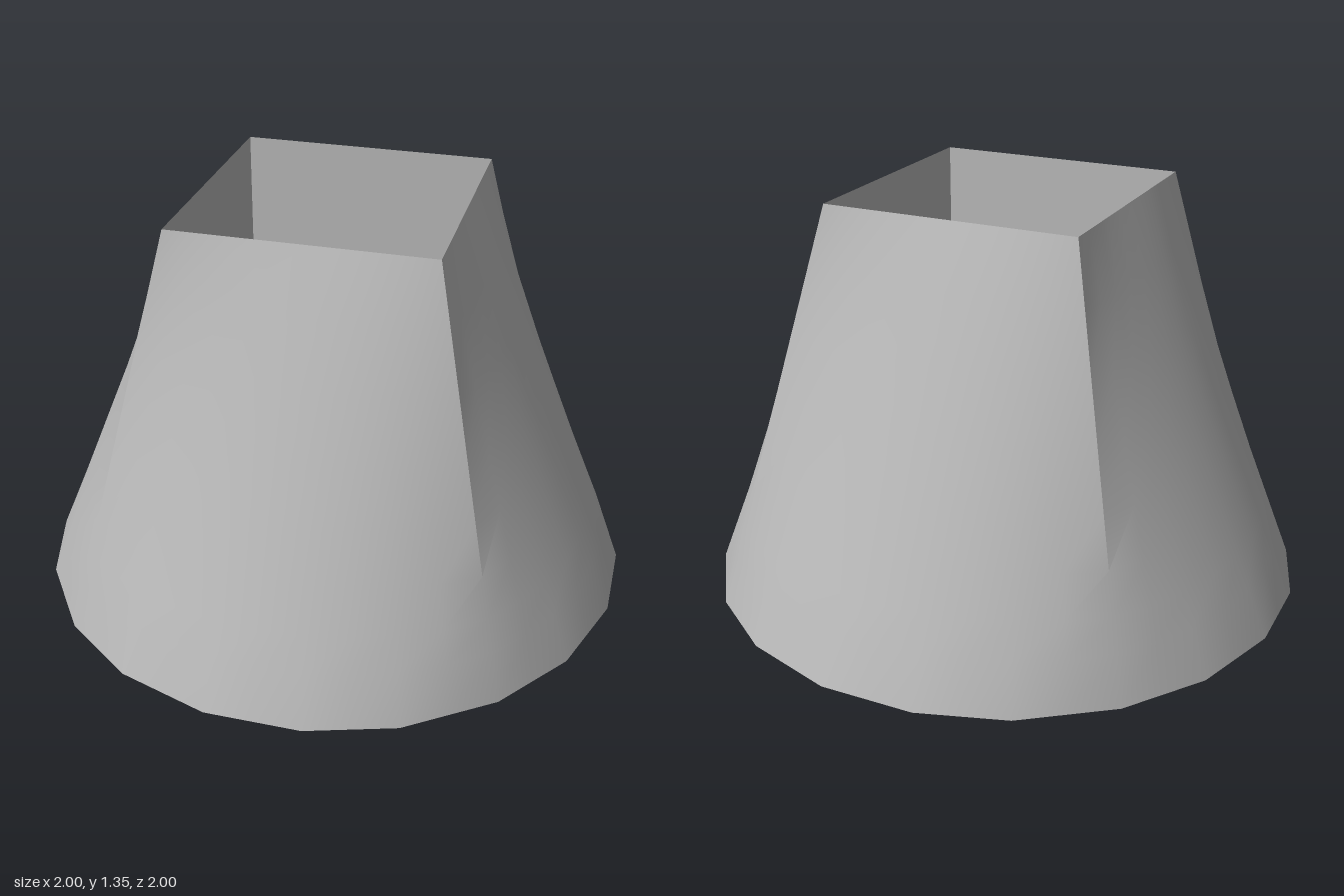
import * as THREE from 'three';
import { toCreasedNormals } from 'three/addons/utils/BufferGeometryUtils.js';

const HEIGHT = 1.35;
const HALF = 0.43; // half side of the square opening
const RADIUS = 1.0125; // radius of the round foot
const SIDE_ANGLES = [-45, -26, -9, 9, 27.5, 45]; // foot corners along one side
const ROWS = [0, 0.15, 0.3, 0.45, 0.58, 0.7, 0.8, 0.88, 1];

const rad = THREE.MathUtils.degToRad;
const onCircle = (deg) => new THREE.Vector2(Math.cos(rad(deg)), Math.sin(rad(deg))).multiplyScalar(RADIUS);

// Columns of one side: a point on the square, on the circle and on the foot polygon
function sideColumns() {
  const columns = [];
  for (let i = 0; i < SIDE_ANGLES.length; i++) {
    const a = SIDE_ANGLES[i];
    const add = (deg, foot) => columns.push({
      square: new THREE.Vector2(HALF, (HALF * deg) / 45), circle: onCircle(deg), foot,
    });
    add(a, onCircle(a));
    if (i < SIDE_ANGLES.length - 1) {
      const b = SIDE_ANGLES[i + 1];
      add((a + b) / 2, onCircle(a).lerp(onCircle(b), 0.5));
    }
  }
  return columns;
}

// Outer skin: straight loft from the square rim to the round foot
function skinGeometry() {
  const positions = [];
  const index = [];
  const columns = sideColumns();
  const n = columns.length;
  const origin = new THREE.Vector2();
  for (let side = 0; side < 4; side++) {
    const base = positions.length / 3;
    ROWS.forEach((t, r) => {
      columns.forEach(({ square, circle, foot }, c) => {
        const p = square.clone().lerp(t === 1 ? foot : circle, t);
        p.rotateAround(origin, (side * Math.PI) / 2);
        positions.push(p.x, HEIGHT * (1 - t), p.y);
        if (r < ROWS.length - 1 && c < n - 1) {
          const a = base + r * n + c;
          index.push(a, a + 1, a + n + 1, a, a + n + 1, a + n);
        }
      });
    });
  }
  const geometry = new THREE.BufferGeometry();
  geometry.setAttribute('position', new THREE.Float32BufferAttribute(positions, 3));
  geometry.setIndex(index);
  // Corners are sharp near the rim and melt away towards the foot
  return toCreasedNormals(geometry, 0.42);
}

// Flat underside with the square hole
function undersideGeometry() {
  const points = [];
  for (let side = 0; side < 4; side++) {
    SIDE_ANGLES.slice(0, -1).forEach((a) => points.push(onCircle(a + side * 90)));
  }
  const shape = new THREE.Shape(points);
  shape.holes.push(new THREE.Path([
    new THREE.Vector2(-HALF, -HALF), new THREE.Vector2(-HALF, HALF),
    new THREE.Vector2(HALF, HALF), new THREE.Vector2(HALF, -HALF),
  ]));
  return new THREE.ShapeGeometry(shape).rotateX(Math.PI / 2);
}

export function createModel() {
  const model = new THREE.Group();
  model.name = 'squareToRoundAdapter';
  const grey = new THREE.MeshStandardMaterial({ color: 0xb8b8b8 });
  grey.name = 'grey';

  const add = (name, geometry) => {
    const mesh = new THREE.Mesh(geometry, grey);
    mesh.name = name;
    model.add(mesh);
  };

  add('outerSkin', skinGeometry());
  add('underside', undersideGeometry());

  // Straight walls of the square bore, facing inwards
  for (let i = 0; i < 4; i++) {
    const wall = new THREE.PlaneGeometry(2 * HALF, HEIGHT);
    wall.translate(0, HEIGHT / 2, -HALF).rotateY((i * Math.PI) / 2);
    add(`boreWall${i + 1}`, wall);
  }
  return model;
}
